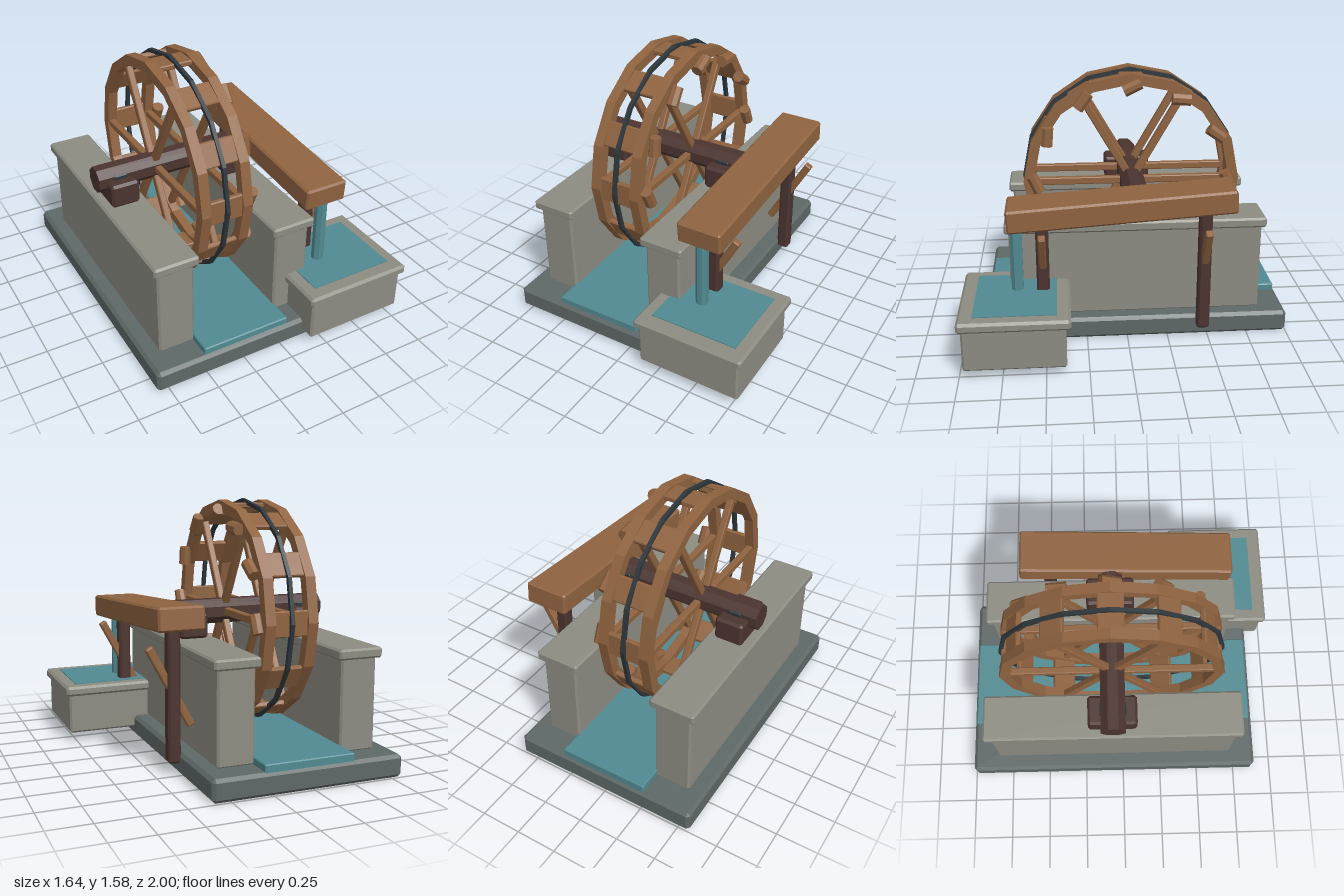
import * as THREE from 'three';
import { ConvexGeometry } from 'three/addons/geometries/ConvexGeometry.js';

const flat = (name, color) => {
  const m = new THREE.MeshStandardMaterial({ color, flatShading: true });
  m.name = name;
  return m;
};

export function createModel() {
  const wood = flat('wood', 0x8f6340);
  const darkWood = flat('darkWood', 0x4b3430);
  const stone = flat('stone', 0x8d8c82);
  const slate = flat('slate', 0x5e6867);
  const water = flat('water', 0x518a92);
  const iron = flat('iron', 0x2e363b);

  const model = new THREE.Group();
  model.name = 'waterWheel';

  const add = (parent, name, geometry, material, x = 0, y = 0, z = 0) => {
    const mesh = new THREE.Mesh(geometry, material);
    mesh.name = name;
    mesh.position.set(x, y, z);
    parent.add(mesh);
    return mesh;
  };

  // Box with chamfered edges and corners
  const chamferBox = (w, h, d, c = 0.012) => {
    const points = [];
    for (const sx of [-1, 1]) for (const sy of [-1, 1]) for (const sz of [-1, 1])
      for (let k = 0; k < 3; k++) {
        const inset = [c, c, c];
        inset[k] = 0;
        points.push(new THREE.Vector3(
          sx * (w / 2 - inset[0]), sy * (h / 2 - inset[1]), sz * (d / 2 - inset[2])));
      }
    return new ConvexGeometry(points);
  };

  // Chamfered box given by its limits
  const block = (name, material, [x0, x1], [y0, y1], [z0, z1], c) =>
    add(model, name, chamferBox(x1 - x0, y1 - y0, z1 - z0, c), material,
      (x0 + x1) / 2, (y0 + y1) / 2, (z0 + z1) / 2);

  // Sixteen-sided ring around the x axis
  const ring = (outer, inner, width) => {
    const corners = (r) => Array.from({ length: 16 }, (_, i) =>
      new THREE.Vector2(r * Math.cos(i * Math.PI / 8), r * Math.sin(i * Math.PI / 8)));
    const shape = new THREE.Shape(corners(outer));
    shape.holes.push(new THREE.Path(corners(inner)));
    return new THREE.ExtrudeGeometry(shape, { depth: width, bevelEnabled: false })
      .translate(0, 0, -width / 2).rotateY(Math.PI / 2);
  };

  // Base and channel
  block('base', slate, [-0.82, 0.36], [0, 0.135], [-1, 0.88], 0.02);
  block('channelWater', water, [-0.51, 0.05], [0.12, 0.177], [-0.985, 0.86], 0.006);

  // Walls with caps, bearings and straps
  const wheelX = -0.23;
  for (const side of [-1, 1]) {
    const x = wheelX + side * 0.383;
    block('wall', stone, [x - 0.113, x + 0.113], [0.13, 0.69], [-0.835, 0.715]);
    block('wallCap', stone, [x - 0.14, x + 0.14], [0.68, 0.742], [-0.86, 0.74]);
    block('bearing', darkWood, [x - 0.089, x + 0.089], [0.742, 0.893], [-0.213, 0.087], 0.015);
    block('bearingStrap', iron, [x - 0.043, x + 0.043], [0.85, 0.92], [-0.14, 0.02], 0.008);
  }

  // Wheel
  const wheel = new THREE.Group();
  wheel.name = 'wheel';
  wheel.position.set(0, 0.885, -0.06);
  model.add(wheel);

  const axleGeometry = new THREE.CylinderGeometry(0.081, 0.081, 1.04, 8)
    .rotateY(Math.PI / 8).rotateZ(Math.PI / 2);
  add(wheel, 'axle', axleGeometry, darkWood, wheelX);

  const rimGeometry = ring(0.684, 0.62, 0.062);
  const spokeGeometry = chamferBox(0.042, 0.62, 0.046, 0.005);
  for (const side of [-1, 1]) {
    const x = wheelX + side * 0.134;
    add(wheel, 'rim', rimGeometry, wood, x);
    for (let i = 0; i < 6; i++) {
      const a = Math.PI / 6 + i * Math.PI / 3;
      const spoke = add(wheel, 'spoke', spokeGeometry, wood, x, 0.33 * Math.cos(a), 0.33 * Math.sin(a));
      spoke.rotation.x = a;
    }
  }
  add(wheel, 'ironBand', ring(0.692, 0.668, 0.024), iron, wheelX);

  // Paddles between the rims, buckets on the trough side
  const paddleGeometry = chamferBox(0.31, 0.032, 0.15, 0.006);
  const bucketGeometry = new THREE.CylinderGeometry(0.038, 0.036, 0.115, 8)
    .rotateY(Math.PI / 8).rotateX(Math.PI / 2);
  for (let i = 0; i < 12; i++) {
    const a = i * Math.PI / 6;
    const c = Math.cos(a), s = Math.sin(a);
    add(wheel, 'paddle', paddleGeometry, wood, wheelX, 0.65 * c, 0.65 * s).rotation.x = a;
    add(wheel, 'bucket', bucketGeometry, wood, -0.04, 0.607 * c, 0.607 * s).rotation.x = a + 0.43;
  }

  // Sloping trough on two braced posts
  const trough = add(model, 'trough', chamferBox(0.277, 0.138, 1.342), wood, 0.388, 0.891, 0.041);
  trough.rotation.x = 0.068;
  const braceGeometry = chamferBox(0.046, 0.535, 0.044, 0.006);
  for (const [z, top] of [[0.51, 0.82], [-0.463, 0.89]]) {
    block('post', darkWood, [0.35, 0.426], [0.075, top], [z - 0.038, z + 0.038]);
    const brace = add(model, 'brace', braceGeometry, wood, 0.405, 0.522, z);
    brace.rotation.z = -0.497;
  }

  // Basin with falling water
  block('basin', stone, [0.147, 0.793], [0.058, 0.32], [0.38, 0.975]);
  block('basinRim', stone, [0.123, 0.817], [0.308, 0.37], [0.352, 0.997], 0.015);
  add(model, 'basinWater', new THREE.BoxGeometry(0.54, 0.008, 0.48), water, 0.47, 0.371, 0.67);
  add(model, 'fallingWater',
    new THREE.CylinderGeometry(0.038, 0.038, 0.46, 8).rotateY(Math.PI / 8), water, 0.388, 0.59, 0.663);

  return model;
}
